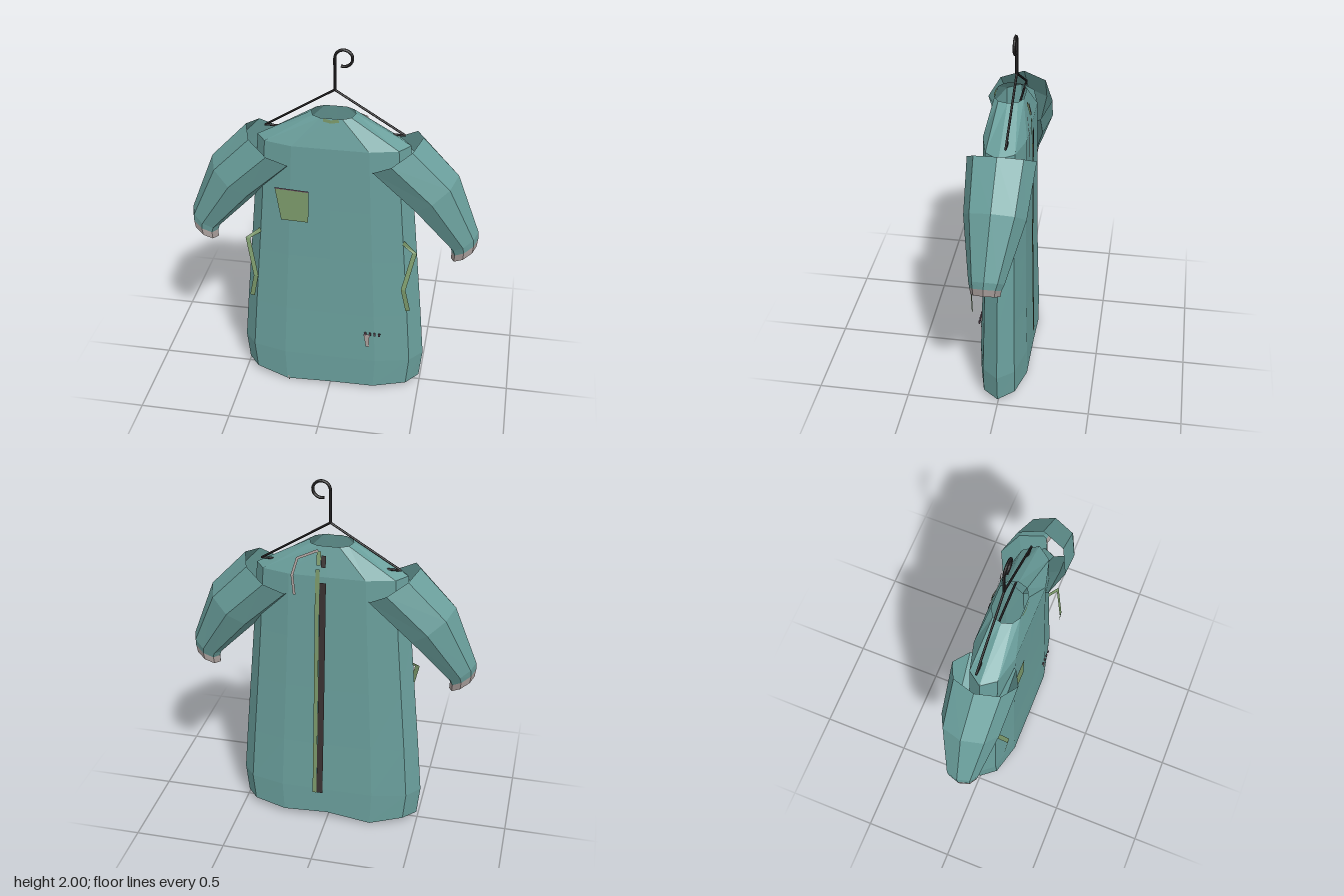
import * as THREE from 'three';

const mat = (name, color) => {
  const m = new THREE.MeshStandardMaterial({ color, flatShading: true, side: THREE.DoubleSide });
  m.name = name;
  return m;
};

// Flat-shaded geometry from points and triangle indices
function faceted(pos, idx) {
  const g = new THREE.BufferGeometry();
  g.setAttribute('position', new THREE.Float32BufferAttribute(pos, 3));
  g.setIndex(idx);
  const flat = g.toNonIndexed();
  flat.computeVertexNormals();
  return flat;
}

// Skin between equal-length rings of points; rings run along the part
function loft(rings) {
  const n = rings[0].length, idx = [];
  for (let r = 0; r < rings.length - 1; r++) {
    for (let i = 0; i < n; i++) {
      const a = r * n + i, b = r * n + (i + 1) % n;
      idx.push(a, a + n, b, b, a + n, b + n);
    }
  }
  return faceted(rings.flat().flatMap(p => p.toArray()), idx);
}

// Flat cloth strip along a path, widened across the path in the x-y plane
function ribbon(path, width) {
  const pts = path.map(p => new THREE.Vector3(...p));
  const pos = [], idx = [];
  pts.forEach((p, i) => {
    const d = pts[Math.min(i + 1, pts.length - 1)].clone().sub(pts[Math.max(i - 1, 0)]).setZ(0).normalize();
    const ox = d.y * width / 2, oy = -d.x * width / 2;
    pos.push(p.x - ox, p.y - oy, p.z, p.x + ox, p.y + oy, p.z);
    if (i) {
      const a = 2 * i - 2;
      idx.push(a, a + 1, a + 2, a + 1, a + 3, a + 2);
    }
  });
  return faceted(pos, idx);
}

// Gown sections from neck to hem: height, half width, half depth
const SECTIONS = [
  [1.665, 0.114, 0.075], [1.51, 0.4, 0.112], [1.15, 0.428, 0.114],
  [0.85, 0.455, 0.116], [0.5, 0.487, 0.122], [0.2, 0.512, 0.131], [0.03, 0.495, 0.131],
];

function depthAt(y) {
  for (let i = 1; i < SECTIONS.length; i++) {
    const [y0, , d0] = SECTIONS[i - 1], [y1, , d1] = SECTIONS[i];
    if (y >= y1) return d0 + (d1 - d0) * (y - y0) / (y1 - y0);
  }
  return SECTIONS.at(-1)[2];
}

export function createModel() {
  const model = new THREE.Group();
  model.name = 'gownOnHanger';
  const cloth = mat('teal cloth', 0x6a9f9c);
  const olive = mat('olive trim', 0x7c9a6b);
  const cuffGrey = mat('worn grey', 0xaca19e);
  const metal = mat('dark metal', 0x2a2829);
  const dark = mat('dark opening', 0x3a3232);
  const mauve = mat('mauve edge', 0x5e4a55);
  const add = (name, geo, m, parent = model) => {
    const mesh = new THREE.Mesh(geo, m);
    mesh.name = name;
    parent.add(mesh);
    return mesh;
  };

  // Body: open at neck and hem, flat front and back, slanted sides, uneven lower edge
  const hem = [0.005, 0.015, 0, 0.015, -0.02, 0.015, 0.005, 0.01, -0.022, -0.012, -0.01, 0.005];
  add('gownBody', loft(SECTIONS.map(([y, w, d], r) => hem.map((h, i) => {
    const a = i * Math.PI / 6, s = Math.sin(a);
    const lift = r === SECTIONS.length - 1 ? h : 0;
    return new THREE.Vector3(w * Math.cos(a), y + lift, -d * Math.sign(s) * Math.min(1, Math.abs(s) * 1.14) ** 0.75);
  }))), cloth);

  // Sleeves and cuffs: tilted eight-sided rings
  // [centre x, y, z, in-plane half vector x, y, depth]
  const cuff = [[0.706, 0.955, 0.018, 0.067, 0.047, 0.08], [0.702, 0.912, 0.02, 0.065, 0.044, 0.074]];
  const sleeve = [
    [0.32, 1.466, -0.003, 0.14, 0.094, 0.174], [0.53, 1.26, -0.002, 0.12, 0.1, 0.156],
    [0.7, 0.99, 0.014, 0.071, 0.054, 0.09], cuff[0],
  ];
  const rings = (list, side) => list.map(([x, y, z, ux, uy, d]) =>
    Array.from({ length: 8 }, (_, i) => {
      const a = side * i * Math.PI / 4, c = Math.cos(a);
      return new THREE.Vector3(side * (x + ux * c), y + uy * c, z + d * Math.sin(a));
    }));
  for (const side of [1, -1]) {
    const arm = new THREE.Group();
    arm.name = side > 0 ? 'leftSleeve' : 'rightSleeve';
    model.add(arm);
    add('sleeve', loft(rings(sleeve, side)), cloth, arm);
    add('cuff', loft(rings(cuff, side)), cuffGrey, arm);
    // Loose waist tie
    add('waistTie', ribbon([
      [side * 0.385, 0.97, 0.075], [side * 0.45, 0.93, 0.105],
      [side * 0.402, 0.72, 0.15], [side * 0.43, 0.58, 0.14],
    ], 0.025), olive, arm);
  }

  // Chest pocket with a dark top edge
  const pocket = new THREE.Shape([[-0.29, 1.265], [-0.26, 1.075], [-0.115, 1.07], [-0.11, 1.255]]
    .map(p => new THREE.Vector2(...p)));
  add('chestPocket', new THREE.ShapeGeometry(pocket), olive).position.z = 0.121;
  add('pocketEdge', ribbon([[-0.29, 1.265, 0.123], [-0.11, 1.255, 0.123]], 0.008), mauve);

  // Olive binding at the front of the neck
  add('neckBinding', ribbon([[-0.04, 1.657, 0.08], [0, 1.65, 0.083], [0.04, 1.657, 0.08]], 0.018), olive);

  // Back opening, its olive facing and the short neck closure
  const down = (x0, x1, y0, y1, lift) => Array.from({ length: 7 }, (_, i) => {
    const t = i / 6, y = y0 + (y1 - y0) * t;
    return [x0 + (x1 - x0) * t, y, -depthAt(y) - lift];
  });
  add('backOpening', ribbon(down(0.02, 0.04, 1.48, 0.18, 0.008), 0.034), dark);
  add('backFacing', ribbon(down(0.048, 0.068, 1.55, 0.18, 0.01), 0.022), olive);
  add('neckClosure', ribbon(down(0.02, 0.02, 1.62, 1.56, 0.008), 0.025), dark);
  add('neckClosureTrim', ribbon(down(0.045, 0.045, 1.64, 1.57, 0.009), 0.022), olive);
  add('neckTie', ribbon([
    [0.05, 1.645, -0.09], [0.155, 1.6, -0.108], [0.18, 1.51, -0.122], [0.17, 1.4, -0.122],
  ], 0.014), cuffGrey);

  // Mended tear near the hem
  const tear = new THREE.Shape([[0.19, 0.385], [0.205, 0.3], [0.222, 0.3], [0.222, 0.365], [0.235, 0.385]]
    .map(p => new THREE.Vector2(...p)));
  add('tearPatch', new THREE.ShapeGeometry(tear), cuffGrey).position.z = 0.134;
  for (let i = 0; i < 4; i++) {
    const stitch = add('stitch', new THREE.BoxGeometry(0.011, 0.016, 0.008), mauve);
    stitch.position.set(0.2 + i * 0.026, 0.387, 0.132);
  }
  add('hemThread', ribbon([[-0.24, 0.03, 0.133], [-0.235, 0.003, 0.134]], 0.006), cuffGrey);

  // Wire hanger: shoulder triangle and curled hook
  const hanger = new THREE.Group();
  hanger.name = 'hanger';
  hanger.position.z = -0.03;
  model.add(hanger);
  const rod = (name, a, b, r) => add(name, new THREE.TubeGeometry(
    new THREE.LineCurve3(new THREE.Vector3(...a), new THREE.Vector3(...b)), 1, r, 6), metal, hanger);
  rod('leftArm', [0, 1.775, 0], [0.364, 1.55, 0], 0.006);
  rod('rightArm', [0, 1.775, 0], [-0.364, 1.55, 0], 0.006);
  rod('crossBar', [-0.367, 1.55, 0], [0.367, 1.55, 0], 0.006);
  rod('hookStem', [0, 1.77, 0], [0, 1.948, 0], 0.008);
  const curl = Array.from({ length: 13 }, (_, i) => {
    const a = Math.PI - i / 12 * Math.PI * 1.6;
    return new THREE.Vector3(0.045 + 0.045 * Math.cos(a), 1.948 + 0.044 * Math.sin(a), 0);
  });
  add('hookCurl', new THREE.TubeGeometry(new THREE.CatmullRomCurve3(curl), 20, 0.008, 6), metal, hanger);
  return model;
}
